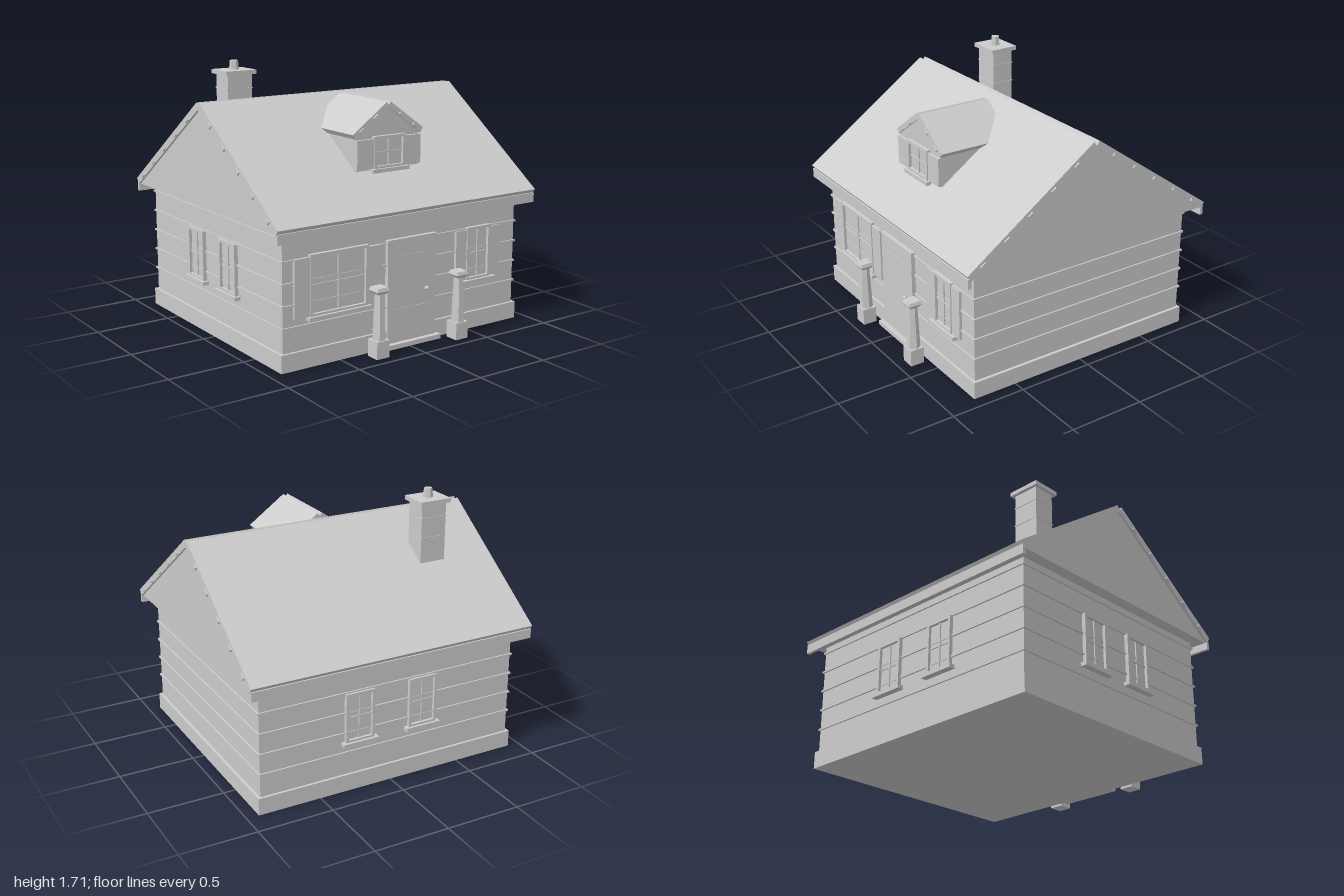
import * as THREE from 'three';

const plaster = new THREE.MeshStandardMaterial({ color: 0xcccccc });
plaster.name = 'light grey';

function add(parent, name, geometry) {
  const mesh = new THREE.Mesh(geometry, plaster);
  mesh.name = name;
  parent.add(mesh);
  return mesh;
}

// Box given by its extents on each axis
function box(parent, name, [x0, x1], [y0, y1], [z0, z1]) {
  const g = new THREE.BoxGeometry(x1 - x0, y1 - y0, z1 - z0);
  g.translate((x0 + x1) / 2, (y0 + y1) / 2, (z0 + z1) / 2);
  return add(parent, name, g);
}

// Outline in x, y drawn out along z
function prism(parent, name, outline, z0, z1) {
  const shape = new THREE.Shape(outline.map(p => new THREE.Vector2(...p)));
  const g = new THREE.ExtrudeGeometry(shape, { depth: z1 - z0, bevelEnabled: false });
  g.translate(0, 0, z0);
  return add(parent, name, g);
}

// Gabled roof with its ridge along z: two slabs, gable filling, ridge bar and small batten ends
function gableRoof(name, o) {
  const roof = new THREE.Group();
  roof.name = name;
  const run = o.eave[0] - o.top[0], drop = o.top[1] - o.eave[1], len = Math.hypot(run, drop);
  const d = [run / len, -drop / len], n = [drop / len, run / len];
  const at = (s, t) => [o.top[0] + d[0] * s - n[0] * t, o.top[1] + d[1] * s - n[1] * t];
  for (const side of [1, -1]) {
    const mirror = pts => pts.map(([x, y]) => [x * side, y]);
    prism(roof, 'roofSlab', mirror([at(0, 0), at(0, o.thick), at(len, o.thick), at(len, 0)]), o.z0, o.z1);
    for (let i = 0; i < o.battens; i++) {
      const s = len * (i + 0.75) / (o.battens + 0.4), t = o.thick;
      const pts = mirror([at(s, t * 0.4), at(s, t * 0.9), at(s + 0.04, t * 0.9), at(s + 0.04, t * 0.4)]);
      prism(roof, 'battenEnd', pts, o.z1, o.z1 + 0.01);
      if (o.bothEnds) prism(roof, 'battenEnd', pts, o.z0 - 0.01, o.z0);
    }
  }
  const foot = at(len, o.thick);
  const apex = foot[1] + foot[0] * drop / run;
  prism(roof, 'gable', [[-foot[0], foot[1]], [foot[0], foot[1]], [0, apex]], o.z0 + o.inset, o.z1 - o.inset);
  box(roof, 'ridgeBar', [-0.02, 0.02], [apex - 0.01, apex + 0.015], [o.z0 + 0.002, o.z1 - 0.002]);
  return roof;
}

// Four-pane window facing +z, with sill and optional shutters; y is its bottom edge
function windowUnit(w, h, sillW, shutterW = 0) {
  const g = new THREE.Group();
  g.name = 'window';
  const b = 0.018, x = w / 2;
  box(g, 'pane', [-x + b, x - b], [b, h - b], [-0.01, 0.006]);
  for (const s of [-1, 1]) {
    box(g, 'frameSide', s < 0 ? [-x, -x + b] : [x - b, x], [0, h], [-0.01, 0.025]);
    if (shutterW) {
      box(g, 'shutter', s < 0 ? [-x - shutterW, -x] : [x, x + shutterW], [0.005, h - 0.015], [-0.01, 0.018]);
    }
  }
  box(g, 'frameTop', [-x + b, x - b], [h - b, h], [-0.01, 0.025]);
  box(g, 'frameBottom', [-x + b, x - b], [0, b], [-0.01, 0.025]);
  box(g, 'muntinUpright', [-0.005, 0.005], [b, h - b], [0, 0.014]);
  box(g, 'muntinCross', [-x + b, x - b], [h / 2 - 0.005, h / 2 + 0.005], [0, 0.013]);
  box(g, 'sill', [-sillW / 2, sillW / 2], [-0.02, 0.004], [-0.01, 0.042]);
  return g;
}

export function createModel() {
  const house = new THREE.Group();
  house.name = 'house';
  const cz = -0.02; // middle of the house in depth
  const front = 0.785, back = -0.825, side = 0.9;

  // Walls, plinth and siding ridges
  box(house, 'walls', [-side, side], [0.05, 0.846], [back, front]);
  box(house, 'plinth', [-0.92, 0.92], [0, 0.112], [-0.842, 0.802]);
  for (let i = 0; i < 5; i++) {
    const y = 0.257 + i * 0.135;
    box(house, 'sidingRidge', [-side - 0.01, side + 0.01], [y, y + 0.012], [back - 0.01, front + 0.01]);
  }

  // Main roof, ridge turned along x
  const roof = gableRoof('mainRoof', {
    top: [0.02, 1.505], eave: [0.905, 0.885], thick: 0.045,
    z0: -0.988, z1: 0.988, inset: 0.015, battens: 5, bothEnds: true,
  });
  roof.rotation.y = Math.PI / 2;
  roof.position.z = cz;
  house.add(roof);
  for (const s of [1, -1]) {
    const z = cz + s * 0.888;
    box(house, 'fascia', [-0.985, 0.985], [0.8, 0.862], [z - 0.011, z + 0.011]);
  }

  // Dormer
  const dormer = new THREE.Group();
  dormer.name = 'dormer';
  box(dormer, 'dormerWalls', [-0.245, 0.245], [1.06, 1.3], [0.15, 0.592]);
  dormer.add(gableRoof('dormerRoof', {
    top: [0.015, 1.505], eave: [0.272, 1.322], thick: 0.036,
    z0: 0.095, z1: 0.602, inset: 0.01, battens: 2, bothEnds: false,
  }));
  const dormerWindow = windowUnit(0.24, 0.205, 0.28, 0.125);
  dormerWindow.position.set(0, 1.095, 0.594);
  dormer.add(dormerWindow);
  house.add(dormer);

  // Windows: x, bottom y, z, turn, width, height, sill width, shutter width
  const half = Math.PI;
  [
    [-0.51, 0.31, front, 0, 0.42, 0.38, 0.45, 0.107],
    [0.58, 0.33, front, 0, 0.195, 0.35, 0.28, 0.087],
    [0.225, 0.335, back, half, 0.2, 0.33, 0.245, 0],
    [-0.225, 0.335, back, half, 0.2, 0.33, 0.245, 0],
    [-side, 0.335, cz + 0.2, -half / 2, 0.2, 0.33, 0.245, 0],
    [-side, 0.335, cz - 0.2, -half / 2, 0.2, 0.33, 0.245, 0],
  ].forEach(([x, y, z, turn, w, h, sw, sh]) => {
    const unit = windowUnit(w, h, sw, sh);
    unit.position.set(x, y, z);
    unit.rotation.y = turn;
    house.add(unit);
  });

  // Door with rails, knob and step
  box(house, 'door', [-0.155, 0.225], [0.02, 0.69], [0.77, 0.812]);
  for (const y of [0.24, 0.58]) box(house, 'doorRail', [-0.09, 0.16], [y, y + 0.006], [0.81, 0.815]);
  add(house, 'doorKnob', new THREE.SphereGeometry(0.015, 12, 8)).position.set(0.145, 0.345, 0.822);
  box(house, 'doorStep', [-0.18, 0.245], [0, 0.03], [0.78, 0.845]);

  // Posts beside the door
  for (const x of [-0.275, 0.347]) {
    const post = new THREE.Group();
    post.name = 'post';
    post.position.set(x, 0, 0.885);
    box(post, 'postBase', [-0.047, 0.047], [0, 0.11], [-0.047, 0.047]);
    const tapered = (name, r0, r1, y0, y1, n) => {
      const g = new THREE.CylinderGeometry(r1, r0, y1 - y0, n).toNonIndexed();
      g.rotateY(Math.PI / n);
      g.computeVertexNormals();
      add(post, name, g).position.y = (y0 + y1) / 2;
    };
    tapered('postShaft', 0.044, 0.031, 0.11, 0.405, 6);
    tapered('postCapLower', 0.045, 0.064, 0.4, 0.42, 4);
    tapered('postCapUpper', 0.064, 0.054, 0.42, 0.442, 4);
    house.add(post);
  }

  // Chimney with bands, cap and pot
  const chimney = new THREE.Group();
  chimney.name = 'chimney';
  chimney.position.set(-0.545, 0, -0.345);
  box(chimney, 'stack', [-0.09, 0.09], [1.1, 1.63], [-0.075, 0.075]);
  for (const y of [1.4, 1.53]) box(chimney, 'stackBand', [-0.094, 0.094], [y, y + 0.008], [-0.079, 0.079]);
  box(chimney, 'chimneyCap', [-0.112, 0.112], [1.625, 1.652], [-0.098, 0.098]);
  const pot = new THREE.CylinderGeometry(0.027, 0.032, 0.062, 6).toNonIndexed();
  pot.computeVertexNormals();
  add(chimney, 'chimneyPot', pot).position.y = 1.681;
  house.add(chimney);

  return house;
}
